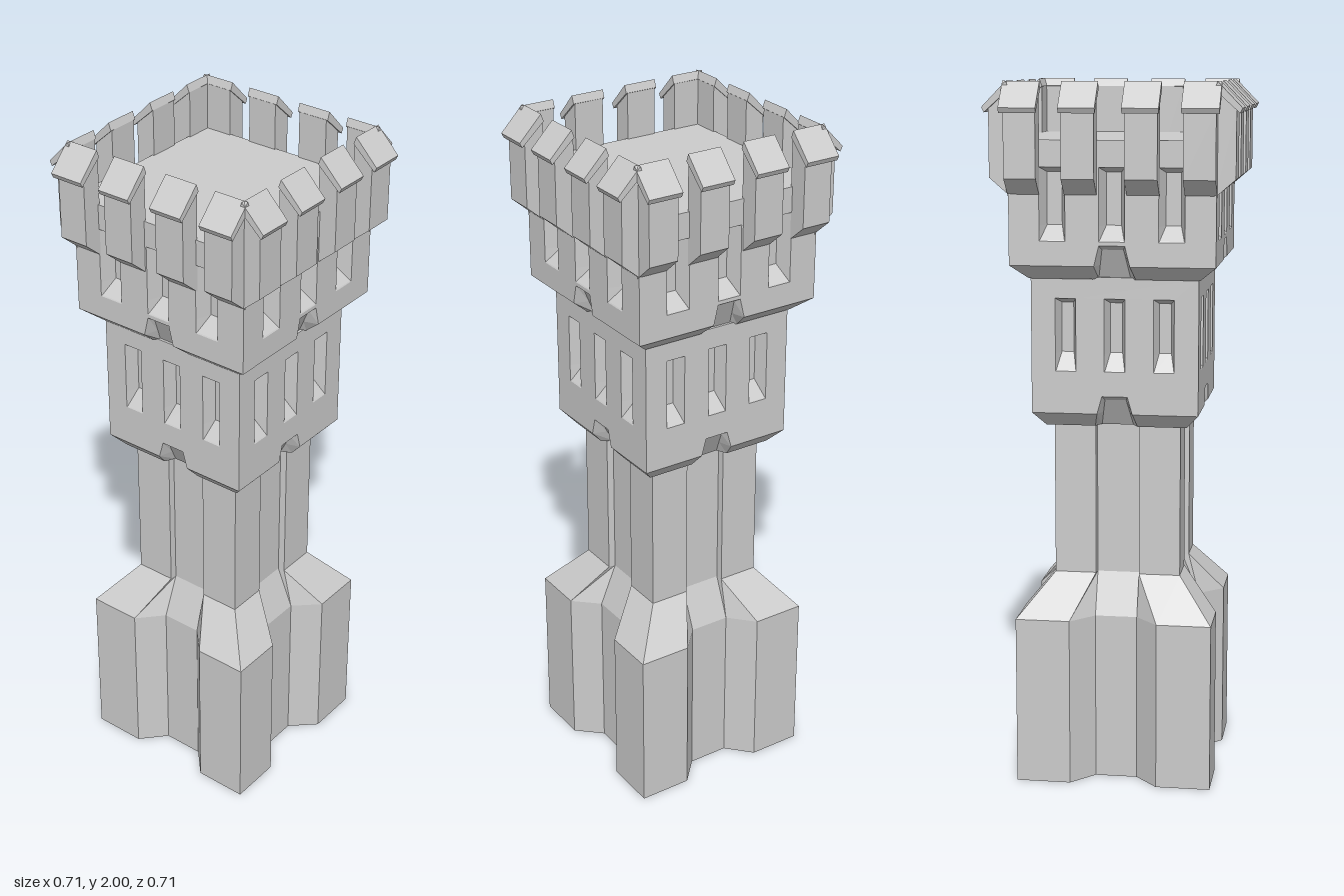
import * as THREE from 'three';

const stone = new THREE.MeshStandardMaterial({ color: 0xcccccc, flatShading: true });

function add(parent, name, geometry) {
  const mesh = new THREE.Mesh(geometry, stone);
  mesh.name = name;
  parent.add(mesh);
  return mesh;
}

// Geometry from quads, each four corners anticlockwise seen from outside
function quads(list) {
  const pos = [];
  for (const [a, b, c, d] of list) pos.push(...a, ...b, ...c, ...a, ...c, ...d);
  const g = new THREE.BufferGeometry();
  g.setAttribute('position', new THREE.Float32BufferAttribute(pos, 3));
  g.computeVertexNormals();
  return g;
}

const polygon = (pts) => new THREE.Shape(pts.map(([x, y]) => new THREE.Vector2(x, y)));

// Repeats the front side's [x, z] points around the four sides
function fourSided(pts) {
  const out = [];
  for (let k = 0; k < 4; k++) {
    out.push(...pts);
    pts = pts.map(([x, z]) => [z, -x]);
  }
  return out;
}

// Strip of quads between two loops of equal length
function strip(a, b, closed) {
  const out = [];
  const n = a.length;
  for (let i = 0; i < (closed ? n : n - 1); i++) {
    const j = (i + 1) % n;
    out.push([a[i], a[j], b[j], b[i]]);
  }
  return out;
}

// Flat downward face from [x, z] points
const underside = (pts, y) =>
  new THREE.ShapeGeometry(polygon(pts)).rotateX(Math.PI / 2).translate(0, y, 0);

// Foot and shaft: square plan with a groove in the middle of each side
function shaft(group) {
  const section = (c, n, z) => fourSided([[-c, c], [-n, c], [-0.06, z], [0.06, z], [n, c]]);
  const wide = section(0.28, 0.125, 0.21);
  const slim = section(0.18, 0.062, 0.16);
  const at = (pts, y) => pts.map(([x, z]) => [x, y, z]);
  const foot = new THREE.Group();
  foot.name = 'foot';
  group.add(foot);
  add(foot, 'footWalls', quads([
    ...strip(at(wide, 0), at(wide, 0.485), true),
    ...strip(at(wide, 0.485), at(slim, 0.605), true),
  ]));
  add(foot, 'footBottom', underside(wide, 0));
  add(group, 'shaft', quads(strip(at(slim, 0.605), at(slim, 1.05), true)));
}

// Window recess whose back slopes out to the wall at its sill
function slot(c, half, s) {
  const rows = [
    [s.bottom, s.hw, s.bottom + 0.003, s.hw - 0.002, 0.002],
    [s.bend, s.hw, s.bend, s.inner, s.depth],
    [s.top, s.hw, s.top - 0.015, s.inner, s.depth],
  ];
  const loop = (f) => [...rows.map((r) => f(r, 1)), ...[...rows].reverse().map((r) => f(r, -1))];
  const outer = loop((r, m) => [c + m * r[1], r[0], half]);
  const inner = loop((r, m) => [c + m * r[3], r[2], half - r[4]]);
  return quads([
    ...strip(outer, inner, true),
    [inner[5], inner[0], inner[1], inner[4]],
    [inner[4], inner[1], inner[2], inner[3]],
  ]);
}

// Square storey with chamfered foot, arched notches and window slots
function storey(group, name, o) {
  const { half, bot, y0, y1, top, arch, notch, slots } = o;
  const block = new THREE.Group();
  block.name = name;
  group.add(block);

  // Wall with openings
  const wall = polygon([[-half, y1], [-0.05, y1], [-0.036, arch], [0.036, arch],
    [0.05, y1], [half, y1], [half, top], [-half, top]]);
  for (const c of slots.at) {
    wall.holes.push(new THREE.Path([[-1, slots.bottom], [-1, slots.top], [1, slots.top], [1, slots.bottom]]
      .map(([m, y]) => new THREE.Vector2(c + m * slots.hw, y))));
  }
  const wallGeo = new THREE.ShapeGeometry(wall).translate(0, 0, half);

  // Sloping band under the wall
  const chamfer = quads([
    [[-bot, y0, bot], [-0.06, y0, bot], [-0.05, y1, half], [-half, y1, half]],
    [[0.06, y0, bot], [bot, y0, bot], [half, y1, half], [0.05, y1, half]],
  ]);

  // Notch pocket with a sloping back
  const innerTop = arch - 0.012;
  const t = (y1 - y0) / (innerTop - y0);
  const mix = THREE.MathUtils.lerp;
  const mirrored = (p) => [...p, ...[...p].reverse().map(([x, y, z]) => [-x, y, z])];
  const outer = mirrored([[0.06, y0, bot], [0.05, y1, half], [0.036, arch, half]]);
  const inner = mirrored([[0.045, y0, notch],
    [mix(0.045, 0.03, t), y1, mix(notch, half - 0.02, t)], [0.03, innerTop, half - 0.02]]);
  const pocket = quads([
    ...strip(outer, inner, false),
    [inner[5], inner[0], inner[1], inner[4]],
    [inner[4], inner[1], inner[2], inner[3]],
  ]);

  const slotGeos = slots.at.map((c) => slot(c, half, slots));
  for (let k = 0; k < 4; k++) {
    const side = new THREE.Group();
    side.name = name + 'Side';
    side.rotation.y = k * Math.PI / 2;
    block.add(side);
    add(side, 'wall', wallGeo);
    add(side, 'chamfer', chamfer);
    add(side, 'archNotch', pocket);
    slotGeos.forEach((g) => add(side, 'windowSlot', g));
  }
  add(block, 'underside', underside(fourSided(
    [[-bot, bot], [-0.06, bot], [-0.045, notch], [0.045, notch], [0.06, bot]]), y0));
  add(block, 'top', new THREE.PlaneGeometry(2 * half, 2 * half).rotateX(-Math.PI / 2).translate(0, top, 0));
}

// Bar of a [z, y] profile, centred at x with the given width
function bar(profile, x, width) {
  return new THREE.ExtrudeGeometry(polygon(profile), { depth: width, bevelEnabled: false })
    .rotateY(-Math.PI / 2).translate(x + width / 2, 0, 0);
}

// Battlements: overhanging merlons, each with a tilted cap slab
function battlements(group) {
  const body = [[0.28, 1.69], [0.338, 1.74], [0.338, 1.925], [0.28, 1.98]];
  const cap = [[0.279, 1.978], [0.348, 1.916], [0.355, 1.93], [0.287, 2]];
  for (let k = 0; k < 4; k++) {
    const side = new THREE.Group();
    side.name = 'battlementSide';
    side.rotation.y = k * Math.PI / 2;
    group.add(side);
    for (const m of [-1, 1]) {
      add(side, 'merlon', bar(body, m * 0.086, 0.09));
      add(side, 'merlonCap', bar(cap, m * 0.086, 0.1));
      add(side, 'cornerMerlon', bar(body, m * 0.244, 0.088));
      add(side, 'cornerMerlonCap', bar(cap, m * 0.247, 0.102));
    }
  }
}

export function createModel() {
  const group = new THREE.Group();
  group.name = 'tower';
  shaft(group);
  storey(group, 'middleStorey', {
    half: 0.235, bot: 0.2, y0: 1.04, y1: 1.08, top: 1.465, arch: 1.13, notch: 0.17,
    slots: { at: [-0.138, 0, 0.138], hw: 0.029, inner: 0.017, bottom: 1.2, bend: 1.25, top: 1.405, depth: 0.04 },
  });
  storey(group, 'upperStorey', {
    half: 0.286, bot: 0.239, y0: 1.46, y1: 1.5, top: 1.843, arch: 1.557, notch: 0.225,
    slots: { at: [-0.165, 0, 0.165], hw: 0.036, inner: 0.021, bottom: 1.568, bend: 1.61, top: 1.77, depth: 0.045 },
  });
  battlements(group);
  return group;
}
